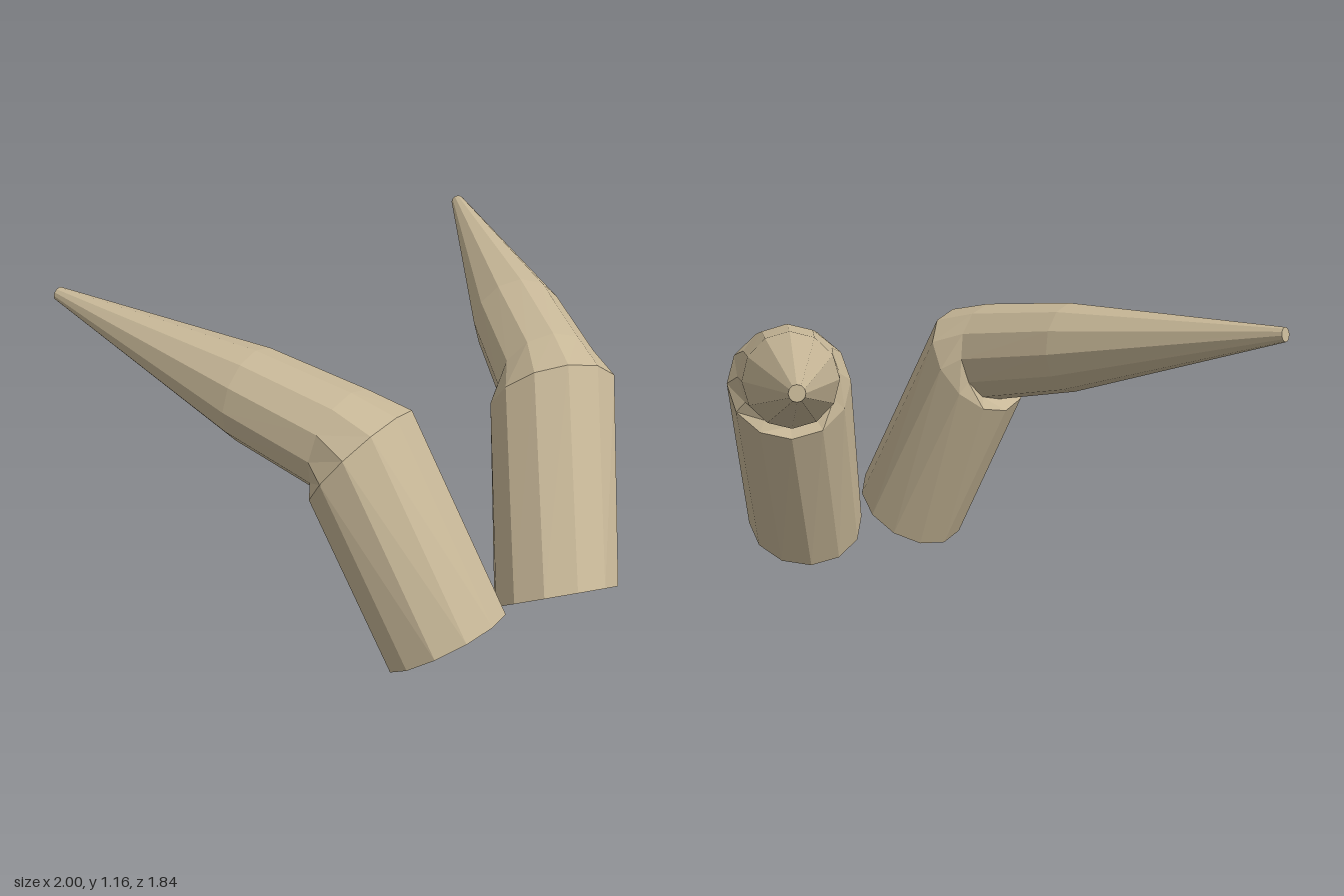
import * as THREE from 'three';

const SIDES = 12;

// Cross-sections of one horn from root to tip: centre, facing direction, radius
const SECTIONS = [
  { c: [0.26, 0.15, 0.715], n: [0.17, 0.82, -0.54], r: 0.245 },
  { c: [0.44, 0.845, 0.43], n: [0.28, 0.6, -0.75], r: 0.25 },
  { c: [0.47, 0.89, 0.36], n: [0.32, 0.17, -0.93], r: 0.204 },
  { c: [0.62, 0.965, -0.02], n: [0.38, 0.11, -0.92], r: 0.183 },
  { c: [0.973, 1.147, -0.911], n: [0.36, 0.18, -0.91], r: 0.028 },
];

// Ring of points around a section, counter-clockwise about its direction
function ring({ c, n, r }) {
  const centre = new THREE.Vector3(...c);
  const normal = new THREE.Vector3(...n).normalize();
  const top = new THREE.Vector3(0, 1, 0).addScaledVector(normal, -normal.y).normalize();
  const side = new THREE.Vector3().crossVectors(normal, top);
  return Array.from({ length: SIDES }, (_, i) => {
    const a = (i / SIDES) * Math.PI * 2;
    return centre.clone()
      .addScaledVector(top, r * Math.cos(a))
      .addScaledVector(side, r * Math.sin(a));
  });
}

function hornGeometry(mirror) {
  const rings = SECTIONS.map(ring);
  const positions = [];
  const triangle = (a, b, c) => {
    for (const p of mirror < 0 ? [a, c, b] : [a, b, c]) positions.push(p.x * mirror, p.y, p.z);
  };
  // Faceted skin between neighbouring rings
  for (let k = 0; k < rings.length - 1; k++) {
    for (let i = 0; i < SIDES; i++) {
      const j = (i + 1) % SIDES;
      triangle(rings[k][i], rings[k][j], rings[k + 1][j]);
      triangle(rings[k][i], rings[k + 1][j], rings[k + 1][i]);
    }
  }
  // Flat caps at the root and the tip
  const root = rings[0];
  const tip = rings[rings.length - 1];
  for (let i = 1; i < SIDES - 1; i++) {
    triangle(root[0], root[i + 1], root[i]);
    triangle(tip[0], tip[i], tip[i + 1]);
  }
  const geometry = new THREE.BufferGeometry();
  geometry.setAttribute('position', new THREE.Float32BufferAttribute(positions, 3));
  geometry.computeVertexNormals();
  return geometry;
}

export function createModel() {
  const group = new THREE.Group();
  group.name = 'horns';
  const material = new THREE.MeshStandardMaterial({ color: 0xc8b898, flatShading: true });
  for (const [name, mirror] of [['leftHorn', 1], ['rightHorn', -1]]) {
    const horn = new THREE.Mesh(hornGeometry(mirror), material);
    horn.name = name;
    group.add(horn);
  }
  return group;
}
